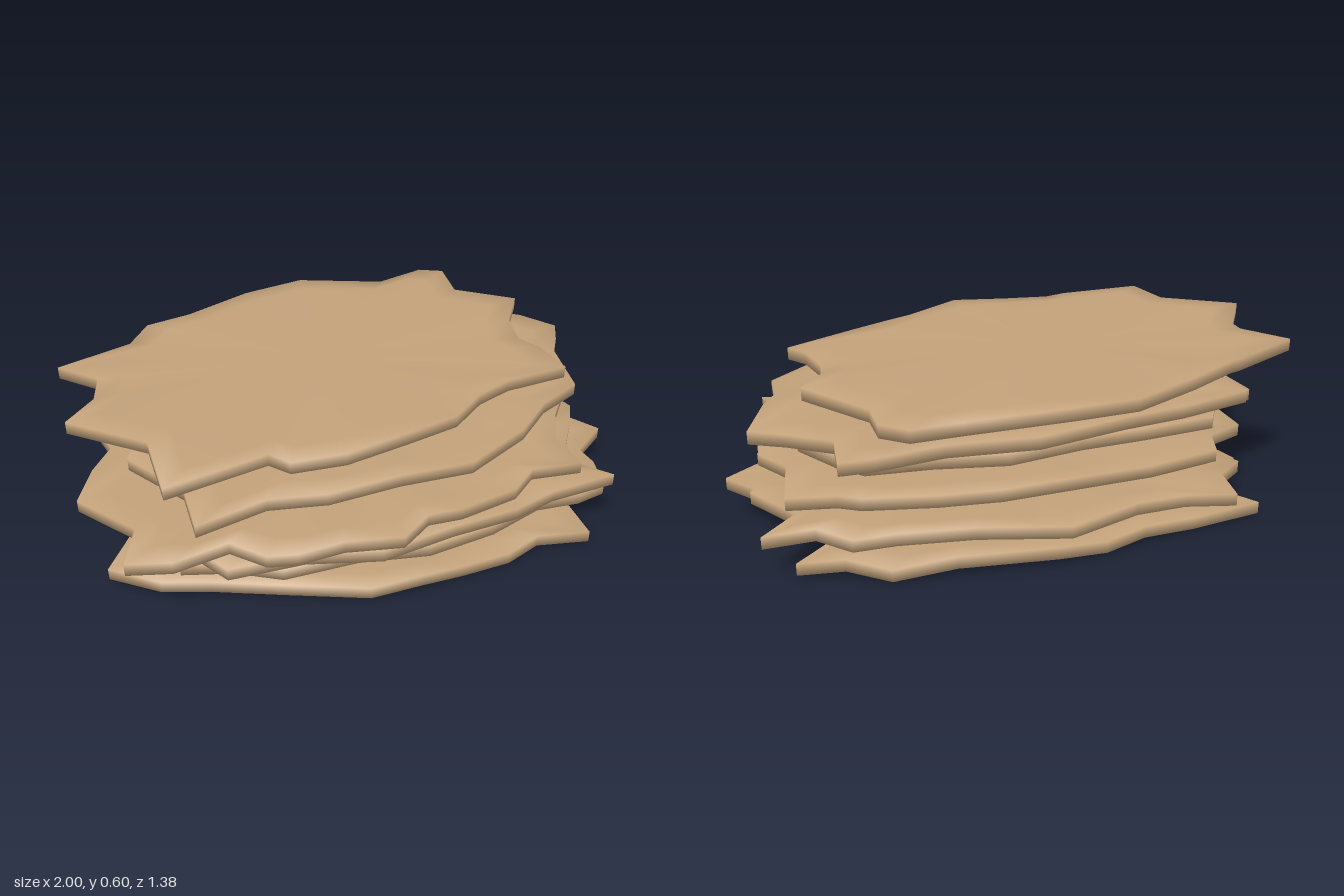
import * as THREE from 'three';

const bark = new THREE.MeshStandardMaterial({ color: 0xc2a17a });
bark.name = 'dry tan';

// Ragged outlines (x, z pairs), counter-clockwise seen from above, lowest slab first
const slab1 = [.78, -.05, .7, -.25, .85, -.38, .7, -.43, .57, -.52, .36, -.55, .03, -.6, -.15, -.59, -.3, -.57,
  -.5, -.55, -.77, -.535, -.65, -.41, -.88, -.19, -.82, 0, -.94, .18, -.78, .28, -.62, .36, -.4, .45,
  -.12, .56, .06, .58, .22, .56, .4, .55, .53, .51, .73, .53, .72, .36, .76, .27, .87, .15];
const slab2 = [1, .1, .92, -.02, .94, -.08, .82, -.24, .95, -.365, .78, -.38, .68, -.46, .55, -.51, .3, -.56,
  0, -.64, -.25, -.6, -.45, -.57, -.62, -.62, -.63, -.5, -.76, -.4, -.66, -.2, -.74, 0, -.68, .2, -.72, .36,
  -.55, .4, -.4, .48, -.15, .51, .1, .54, .35, .51, .55, .45, .73, .435, .83, .43, .86, .3, .86, .2];
const slab3 = [.89, .05, .82, -.12, .86, -.32, .7, -.36, .64, -.45, .4, -.48, .2, -.53, -.1, -.54, -.35, -.5,
  -.6, -.5, -.65, -.38, -.8, -.32, -.78, -.1, -.87, .05, -.8, .2, -.83, .38, -.66, .42, -.6, .55,
  -.35, .57, -.1, .62, .15, .6, .4, .57, .57, .51, .8, .52, .73, .41, .73, .3, .82, .17];
const slab4 = [.74, 0, .78, -.15, .68, -.3, .62, -.42, .4, -.41, .15, -.46, -.1, -.47, -.35, -.44, -.6, -.46,
  -.68, -.34, -.88, -.25, -.85, -.08, -.93, .02, -1, .16, -.85, .4, -.91, .54, -.77, .58, -.59, .56,
  -.49, .63, -.4, .665, -.25, .665, -.06, .69, .04, .64, .16, .635, .38, .58, .47, .52, .66, .52,
  .64, .37, .7, .25, .8, .12];
const slab5 = [.87, -.08, .945, -.22, .84, -.32, .71, -.42, .73, -.56, .63, -.62, .4, -.57,
  .1, -.6, -.2, -.58, -.45, -.52, -.7, -.5, -.66, -.36, -.82, -.2, -.75, 0, -.82, .15, -.68, .35,
  -.69, .57, -.45, .5, -.26, .545, -.02, .55, .24, .53, .48, .42, .62, .3, .8, .2, .82, 0];
const slab6 = [.66, 0, .68, -.12, .77, -.25, .6, -.44, .61, -.59, .53, -.645, .35, -.62, .03, -.69, -.2, -.67,
  -.45, -.57, -.62, -.51, -.7, -.44, -.97, -.34, -.85, -.2, -.88, -.1, -.99, .05, -.76, .24, -.76, .475,
  -.42, .43, -.36, .47, -.18, .49, .03, .475, .23, .41, .35, .33, .48, .28, .73, .23, .69, .1];

// Cross-section from the top over the upright rim to the underside: [scale, height]
const section = [[.4, .024], [.7, .024], [.87, .024], [1, .022],
  [1, -.022], [.87, -.024], [.7, -.024], [.4, -.024]];

function makeSlab(outline, seed) {
  const n = outline.length / 2;
  const xs = outline.filter((v, i) => i % 2 === 0), zs = outline.filter((v, i) => i % 2 === 1);
  const cx = (Math.max(...xs) + Math.min(...xs)) / 2, cz = (Math.max(...zs) + Math.min(...zs)) / 2;
  const pos = [cx, .024, cz], index = [];
  for (const [s, h] of section) {
    for (let i = 0; i < n; i++) {
      // The rim ripples up and down; the middle stays flat
      const wave = .012 * Math.sin(i * 2.3 + seed * 1.7) + .006 * Math.sin(i * .93 + seed * 3.1);
      pos.push(cx + (xs[i] - cx) * s, h + wave * s ** 3, cz + (zs[i] - cz) * s);
    }
  }
  const last = pos.length / 3;
  pos.push(cx, -.024, cz);
  for (let i = 0; i < n; i++) {
    const j = (i + 1) % n;
    index.push(0, 1 + i, 1 + j);
    for (let r = 0; r < section.length - 1; r++) {
      const a = 1 + r * n, b = a + n;
      index.push(a + i, b + i, b + j, a + i, b + j, a + j);
    }
    const e = last - n;
    index.push(last, e + j, e + i);
  }
  const geo = new THREE.BufferGeometry();
  geo.setAttribute('position', new THREE.Float32BufferAttribute(pos, 3));
  geo.setIndex(index);
  geo.computeVertexNormals();
  return new THREE.Mesh(geo, bark);
}

export function createModel() {
  const group = new THREE.Group();
  group.name = 'slabStack';
  [slab1, slab2, slab3, slab4, slab5, slab6].forEach((outline, k) => {
    const slab = makeSlab(outline, k + 1);
    slab.name = 'slab' + (k + 1);
    slab.position.y = .045 + k * .105;
    group.add(slab);
  });
  return group;
}
